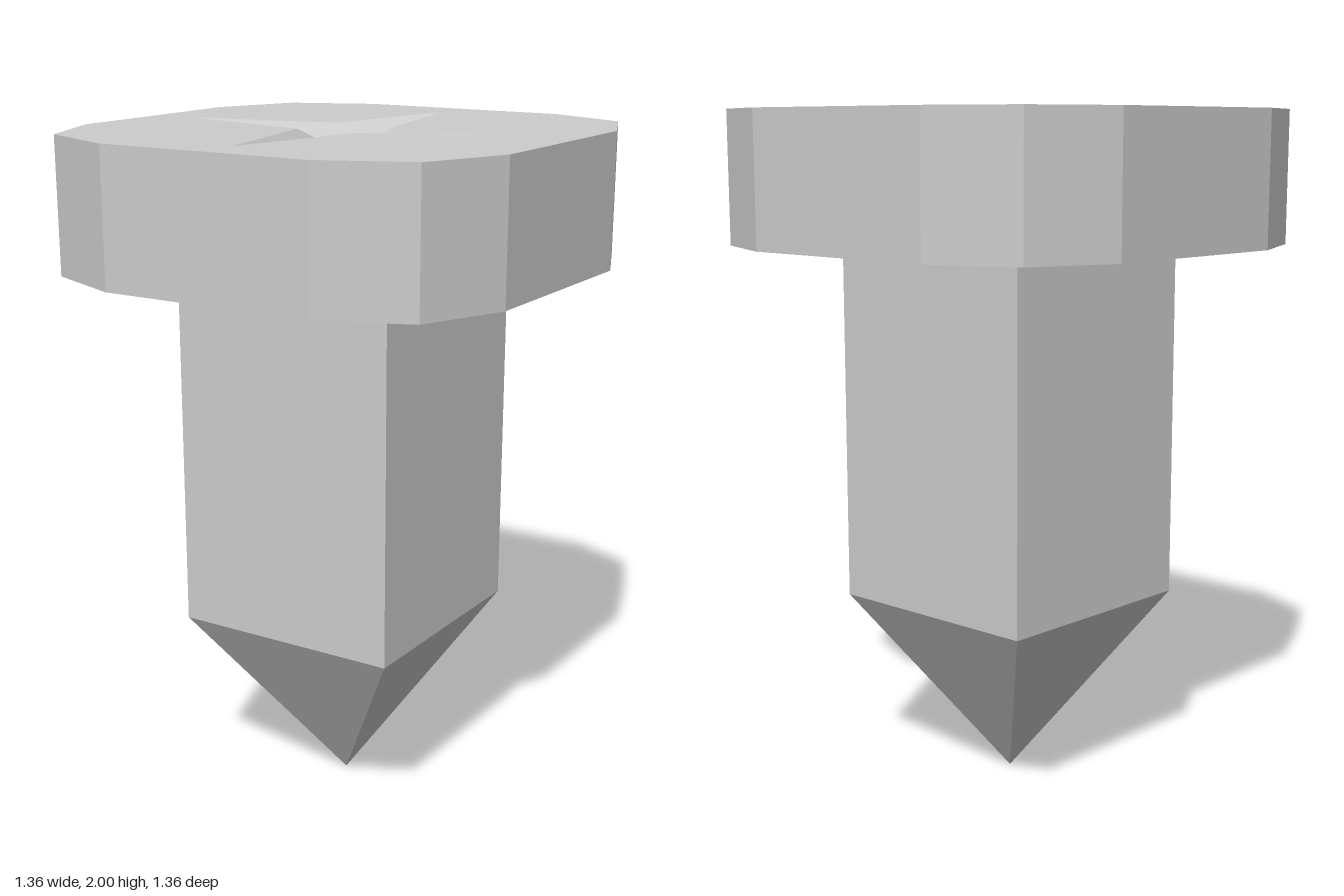
import * as THREE from 'three';

const TOP = 2, HEAD_BOTTOM = 1.61, SHOULDER = 0.555;
const HALF = 0.345; // half width of the square shank
const PIT = 0.07;   // depth of the star recess

// Repeat points of one quarter four times around the y axis, as [x, z] pairs
function fourfold(points) {
  const out = [];
  for (let q = 0; q < 4; q++) {
    for (const [a, b] of points) {
      let p = [a, b];
      for (let k = 0; k < q; k++) p = [p[1], -p[0]];
      out.push(p);
    }
  }
  return out;
}

const headOutline = fourfold([[0.325, 0.68], [0.575, 0.575], [0.68, 0.325]]);
const shankOutline = fourfold([[HALF, HALF]]);
const starOutline = fourfold([[0, 0.55], [0.1, 0.1]]);

// Quads a, b, c, d, each shaded with a single normal taken from its diagonals
function quadGeometry(quads) {
  const pos = [], nor = [];
  for (const [a, b, c, d] of quads) {
    const n = c.clone().sub(a).cross(d.clone().sub(b)).normalize();
    for (const v of [a, b, c, a, c, d]) {
      pos.push(v.x, v.y, v.z);
      nor.push(n.x, n.y, n.z);
    }
  }
  const g = new THREE.BufferGeometry();
  g.setAttribute('position', new THREE.Float32BufferAttribute(pos, 3));
  g.setAttribute('normal', new THREE.Float32BufferAttribute(nor, 3));
  return g;
}

// Upright wall around an outline
function wall(outline, y0, y1) {
  return quadGeometry(outline.map(([x, z], i) => {
    const [u, w] = outline[(i + 1) % outline.length];
    return [new THREE.Vector3(x, y0, z), new THREE.Vector3(u, y0, w),
      new THREE.Vector3(u, y1, w), new THREE.Vector3(x, y1, z)];
  }));
}

// Flat plate with a hole, facing up or down
function plate(outline, hole, y, up) {
  const flip = up ? -1 : 1;
  const pts = (list) => list.map(([x, z]) => new THREE.Vector2(x, flip * z));
  const shape = new THREE.Shape(pts(outline));
  shape.holes.push(new THREE.Path(pts(hole)));
  return new THREE.ShapeGeometry(shape).rotateX(flip * Math.PI / 2).translate(0, y, 0);
}

// Sunken star: one folded quad per quarter, meeting at the deep centre
function starRecess() {
  const at = (i) => {
    const [x, z] = starOutline[i % 8];
    return new THREE.Vector3(x, TOP, z);
  };
  const centre = new THREE.Vector3(0, TOP - PIT, 0);
  return quadGeometry([0, 2, 4, 6].map((i) => [centre, at(i), at(i + 1), at(i + 2)]));
}

export function createModel() {
  const metal = new THREE.MeshStandardMaterial({ color: 0xcccccc });
  metal.name = 'light grey metal';

  const model = new THREE.Group();
  model.name = 'pointedBolt';
  const add = (parent, name, geometry) => {
    const mesh = new THREE.Mesh(geometry, metal);
    mesh.name = name;
    parent.add(mesh);
  };

  // Twelve-sided head with the star recess
  const head = new THREE.Group();
  head.name = 'head';
  add(head, 'headSide', wall(headOutline, HEAD_BOTTOM, TOP));
  add(head, 'headTop', plate(headOutline, starOutline, TOP, true));
  add(head, 'headUnderside', plate(headOutline, shankOutline, HEAD_BOTTOM, false));
  add(head, 'starRecess', starRecess());
  model.add(head);

  // Square shank
  add(model, 'shank', wall(shankOutline, SHOULDER, HEAD_BOTTOM));

  // Four-sided point
  const tip = new THREE.ConeGeometry(HALF * Math.SQRT2, SHOULDER, 4, 1, true)
    .rotateY(Math.PI / 4).rotateX(Math.PI).translate(0, SHOULDER / 2, 0).toNonIndexed();
  tip.computeVertexNormals();
  add(model, 'point', tip);

  return model;
}
